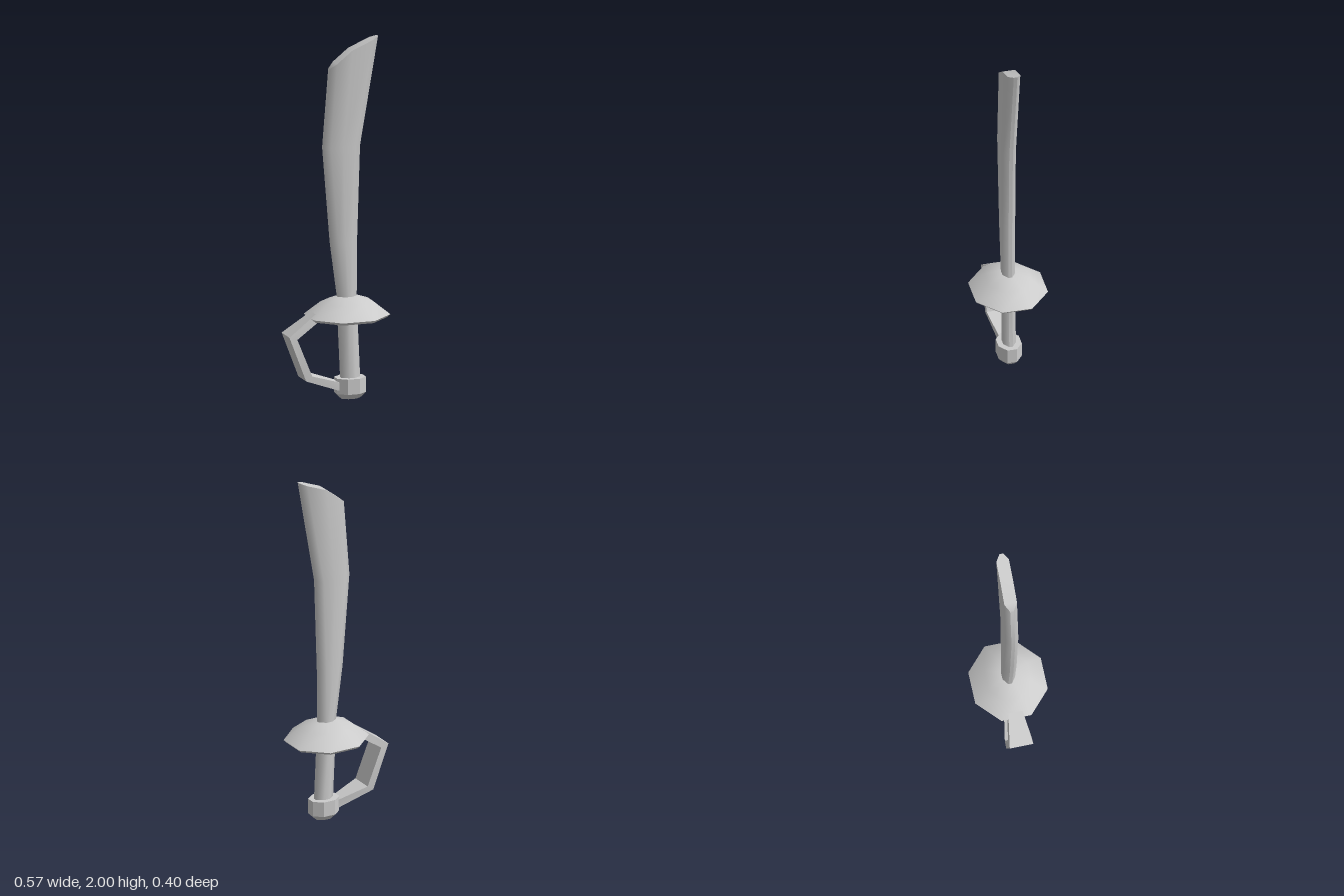
import * as THREE from 'three';
import { toCreasedNormals } from 'three/addons/utils/BufferGeometryUtils.js';

const material = new THREE.MeshStandardMaterial({ color: 0xcccccc });

// Skins a stack of equal-length rings and closes both ends with strips.
function loft(name, rings, crease) {
  const n = rings[0].length;
  const last = (rings.length - 1) * n;
  const index = [];
  const quad = (a, b, c, d) => index.push(a, b, c, a, c, d);
  for (let i = 0; i < rings.length - 1; i++) {
    for (let k = 0; k < n; k++) {
      const j = (k + 1) % n;
      quad(i * n + k, i * n + j, (i + 1) * n + j, (i + 1) * n + k);
    }
  }
  for (let k = 0; k < n / 2 - 1; k++) {
    quad(last + k, last + k + 1, last + n - 2 - k, last + n - 1 - k);
    quad(n - 1 - k, n - 2 - k, k + 1, k);
  }
  const geometry = new THREE.BufferGeometry();
  geometry.setAttribute('position', new THREE.Float32BufferAttribute(rings.flat(2), 3));
  geometry.setIndex(index);
  const mesh = new THREE.Mesh(toCreasedNormals(geometry, crease), material);
  mesh.name = name;
  return mesh;
}

// Bevelled flat section between x = l and x = r; y may differ at five places from r to l.
function bladeRing(l, r, ys, mid = (l + r) / 2) {
  const xs = [r, r - 0.035, mid, l + 0.035, l];
  const half = xs.map((x, k) => [x, Array.isArray(ys) ? ys[k] : ys, k % 4 ? 0.035 : 0.01]);
  return [
    ...half.map(([x, y, z]) => [x, y, -z]),
    ...half.reverse(),
  ];
}

// Flat-sided octagon with half-widths rx and rz.
function octagon(cx, y, rx, rz) {
  const c = Math.cos(Math.PI / 8);
  return Array.from({ length: 8 }, (_, k) => {
    const a = (k + 0.5) * Math.PI / 4;
    return [cx + rx / c * Math.cos(a), y, -rz / c * Math.sin(a)];
  });
}

export function createModel() {
  const model = new THREE.Group();
  model.name = 'sabre';

  // Curved blade with a slanted tip
  model.add(loft('blade', [
    bladeRing(0.012, 0.12, 0.5),
    bladeRing(0.01, 0.118, 0.57),
    bladeRing(-0.03, 0.12, 0.87),
    bladeRing(-0.073, 0.137, 1.4),
    bladeRing(-0.038, 0.24, [2, 1.985, 1.935, 1.865, 1.835], 0.085),
  ], 1.0));

  // Slightly tilted grip
  model.add(loft('grip', [
    bladeRing(0.032, 0.14, 0.06),
    bladeRing(0.012, 0.12, 0.5),
  ], 1.0));

  // Domed hand guard
  model.add(loft('handGuard', [
    octagon(0.066, 0.45, 0.205, 0.187),
    octagon(0.066, 0.465, 0.219, 0.2),
    octagon(0.066, 0.535, 0.135, 0.118),
    octagon(0.066, 0.566, 0.055, 0.045),
  ], 0.75));

  // Faceted pommel
  model.add(loft('pommel', [
    octagon(0.083, 0, 0.053, 0.04),
    octagon(0.083, 0.03, 0.082, 0.064),
    octagon(0.083, 0.115, 0.082, 0.064),
  ], 0.3));

  // Knuckle bow: outer x, y, inner x, y, half-width
  const bow = [
    [-0.07, 0.527, -0.04, 0.49, 0.03],
    [-0.285, 0.375, -0.24, 0.36, 0.065],
    [-0.19, 0.125, -0.155, 0.15, 0.065],
    [0.03, 0.042, 0.03, 0.09, 0.03],
  ];
  model.add(loft('knuckleBow', bow.map(([ox, oy, ix, iy, w]) => [
    [ox, oy, -w], [ix, iy, -w], [ix, iy, w], [ox, oy, w],
  ]), 0.5));

  return model;
}
